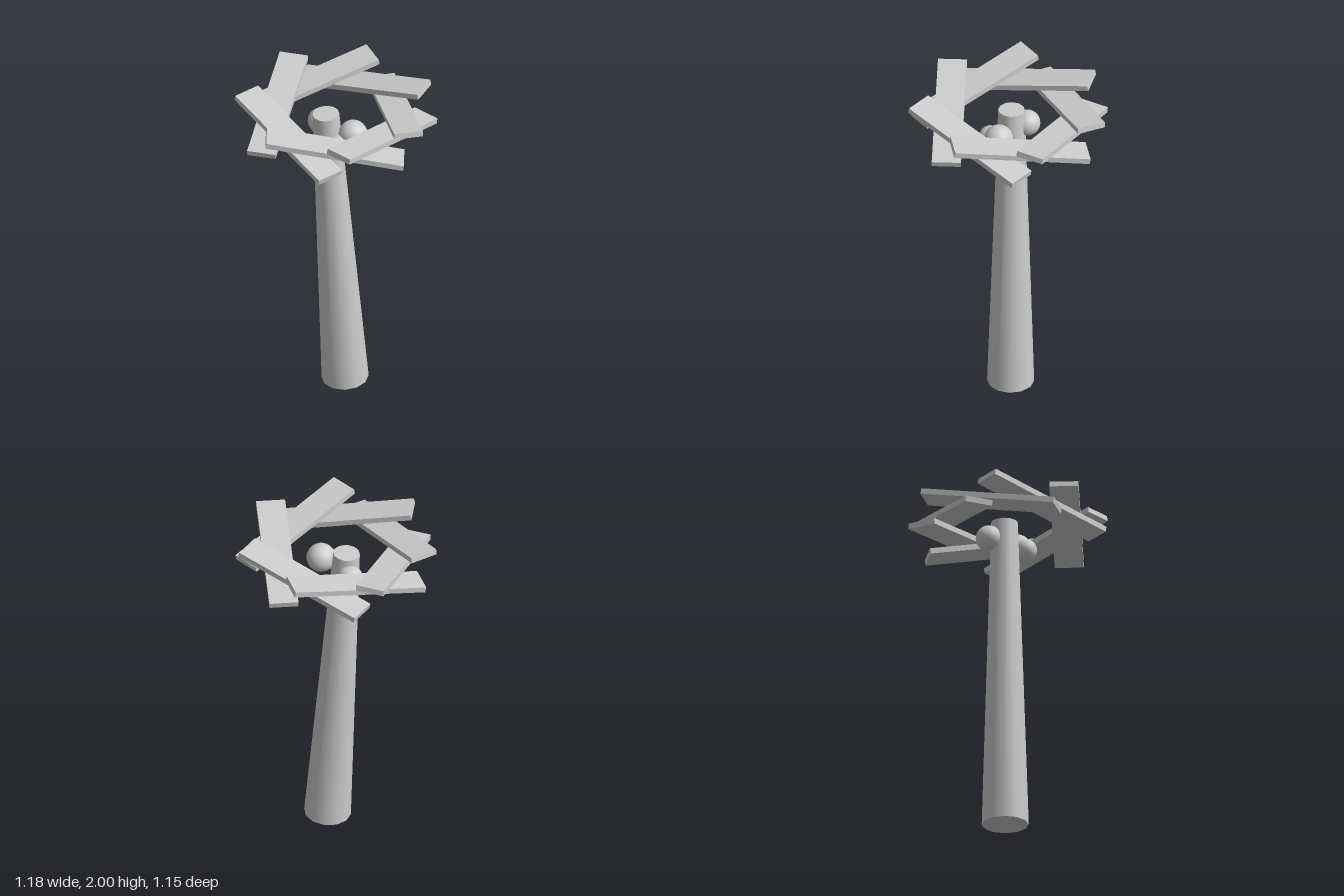
import * as THREE from 'three';

export function createModel() {
  const grey = new THREE.MeshStandardMaterial({ color: 0xcccccc });
  grey.name = 'light grey';
  const tree = new THREE.Group();
  tree.name = 'palmTree';

  const add = (name, geometry, x, y, z) => {
    const mesh = new THREE.Mesh(geometry, grey);
    mesh.name = name;
    mesh.position.set(x, y, z);
    tree.add(mesh);
    return mesh;
  };

  // Leaning, tapered trunk
  const base = new THREE.Vector3(0.054, 0.009, -0.01);
  const tip = new THREE.Vector3(-0.058, 1.9, -0.01);
  const axis = tip.clone().sub(base);
  const middle = base.clone().add(tip).multiplyScalar(0.5);
  const trunk = add('trunk', new THREE.CylinderGeometry(0.078, 0.1375, axis.length(), 12), middle.x, middle.y, middle.z);
  trunk.quaternion.setFromUnitVectors(new THREE.Vector3(0, 1, 0), axis.normalize());

  // Ring of seven tilted plank leaves
  const leafShape = new THREE.BoxGeometry(0.816, 0.034, 0.17);
  for (let i = 0; i < 7; i++) {
    const a = (i / 7) * Math.PI * 2;
    const leaf = add('leaf' + (i + 1), leafShape, 0.35 * Math.sin(a), 1.908, 0.35 * Math.cos(a));
    leaf.rotation.set(0, a, -0.187);
  }

  // Coconuts: x, y, z, radius
  [
    [-0.089, 1.785, -0.1, 0.077],
    [0.101, 1.804, 0.058, 0.085],
    [0.015, 1.753, 0.11, 0.067],
  ].forEach(([x, y, z, r], i) => add('coconut' + (i + 1), new THREE.SphereGeometry(r, 32, 20), x, y, z));

  return tree;
}
